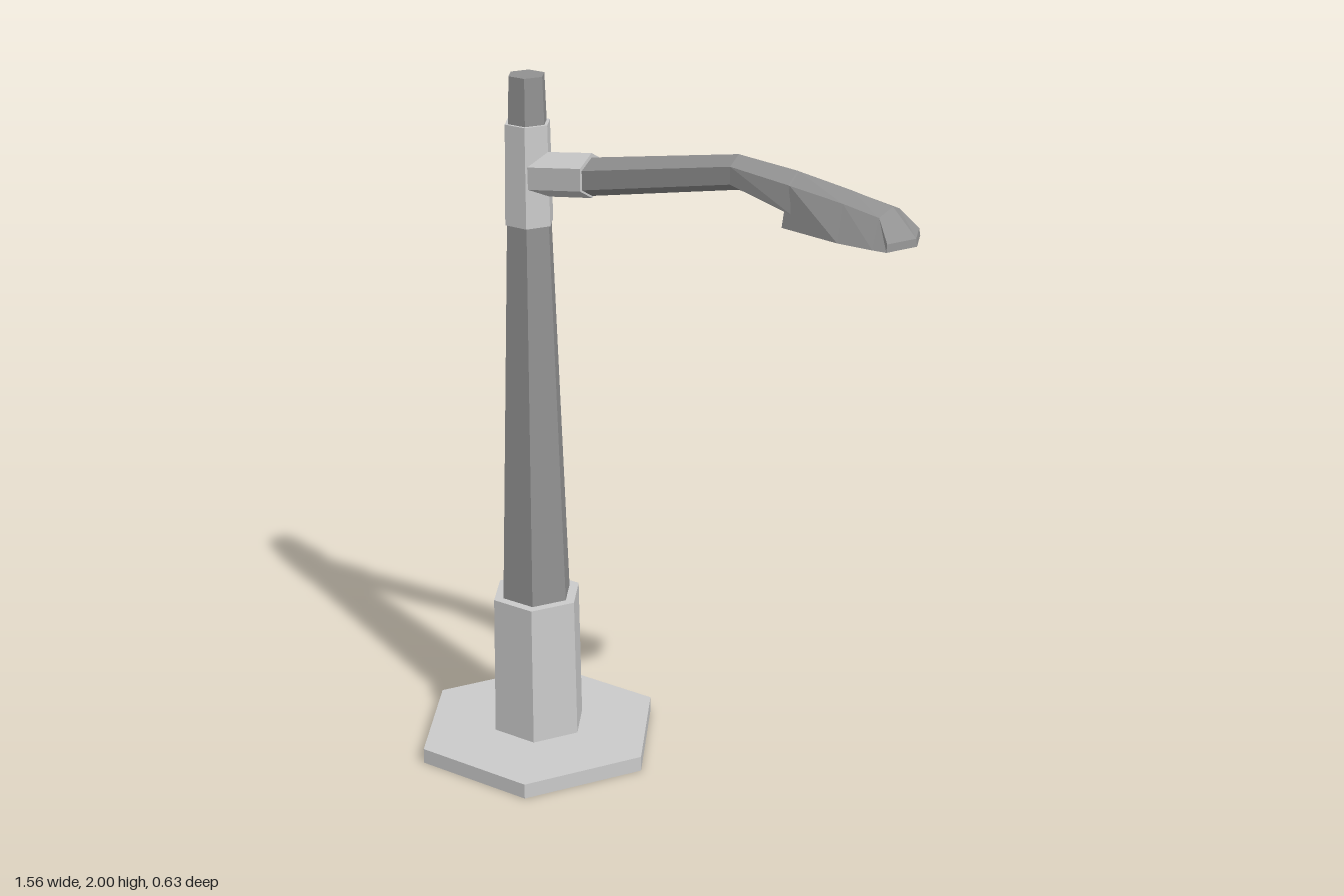
import * as THREE from 'three';

const POLE_X = -0.416;

const makeMaterial = (color) =>
  new THREE.MeshStandardMaterial({ color, flatShading: true, side: THREE.DoubleSide });

// Six-sided turned part around the pole axis, from [radius, y] points
function hexTurned(name, points, material) {
  const profile = points.map(([r, y]) => new THREE.Vector2(r, y));
  const mesh = new THREE.Mesh(new THREE.LatheGeometry(profile, 6, Math.PI / 6), material);
  mesh.name = name;
  mesh.position.x = POLE_X;
  return mesh;
}

// Mirrored six-point section: top, upper side, lower side, bottom
function section(top, upper, lower, bottom) {
  const flip = ([x, y, z]) => [x, y, -z];
  return [[...top, 0], upper, lower, [...bottom, 0], flip(lower), flip(upper)];
}

// Regular hexagonal section standing on a corner
function hexSection(x, y, r) {
  const w = r * Math.cos(Math.PI / 6);
  return section([x, y + r], [x, y + r / 2, w], [x, y - r / 2, w], [x, y - r]);
}

// Skin a row of sections running towards +x and close both ends
function loft(name, rings, material) {
  const pos = [];
  const tri = (...corners) => corners.forEach((p) => pos.push(...p));
  const n = rings[0].length;
  for (let i = 0; i < rings.length - 1; i++) {
    for (let j = 0; j < n; j++) {
      const k = (j + 1) % n;
      const [a, b, c, d] = [rings[i][j], rings[i][k], rings[i + 1][k], rings[i + 1][j]];
      tri(a, b, c);
      tri(a, c, d);
    }
  }
  const first = rings[0];
  const last = rings[rings.length - 1];
  for (let j = 1; j < n - 1; j++) {
    tri(first[0], first[j + 1], first[j]);
    tri(last[0], last[j], last[j + 1]);
  }
  const geometry = new THREE.BufferGeometry();
  geometry.setAttribute('position', new THREE.Float32BufferAttribute(pos, 3));
  geometry.computeVertexNormals();
  const mesh = new THREE.Mesh(geometry, material);
  mesh.name = name;
  return mesh;
}

export function createModel() {
  const group = new THREE.Group();
  group.name = 'streetLamp';
  const light = makeMaterial(0xcccccc);
  const dark = makeMaterial(0x929292);

  // Ground plate with a cable hole
  group.add(hexTurned('basePlate',
    [[0.115, 0], [0.365, 0], [0.365, 0.045], [0.115, 0.045], [0.115, 0]], light));

  // Hollow foot sleeve with a ledge around the pole
  group.add(hexTurned('baseSleeve', [[0.139, 0.055], [0.133, 0.475], [0.1, 0.475]], light));

  // Tapered pole and the collar that carries the arm
  group.add(hexTurned('pole', [[0.104, 0.475], [0.052, 2], [0, 2]], dark));
  group.add(hexTurned('armCollar',
    [[0.06, 1.59], [0.071, 1.59], [0.066, 1.87], [0.053, 1.87]], light));

  // Socket and rising arm
  group.add(loft('armSocket',
    [hexSection(-0.385, 1.73, 0.062), hexSection(-0.205, 1.755, 0.062)], light));
  const elbow = hexSection(0.255, 1.84, 0.047);
  group.add(loft('arm', [hexSection(-0.215, 1.75, 0.053), elbow], dark));

  // Lamp head: neck, undercut lip, flared hood and pointed nose
  group.add(loft('lampHead', [
    elbow,
    section([0.43, 1.872], [0.43, 1.845, 0.045], [0.45, 1.772, 0.056], [0.45, 1.768]),
    section([0.435, 1.871], [0.435, 1.844, 0.045], [0.42, 1.735, 0.056], [0.42, 1.735]),
    section([0.59, 1.847], [0.59, 1.825, 0.048], [0.6, 1.735, 0.088], [0.6, 1.735]),
    section([0.705, 1.825], [0.695, 1.807, 0.05], [0.7, 1.735, 0.088], [0.7, 1.735]),
    section([0.773, 1.755], [0.737, 1.755, 0.081], [0.738, 1.735, 0.086], [0.776, 1.735]),
  ], dark));

  return group;
}
